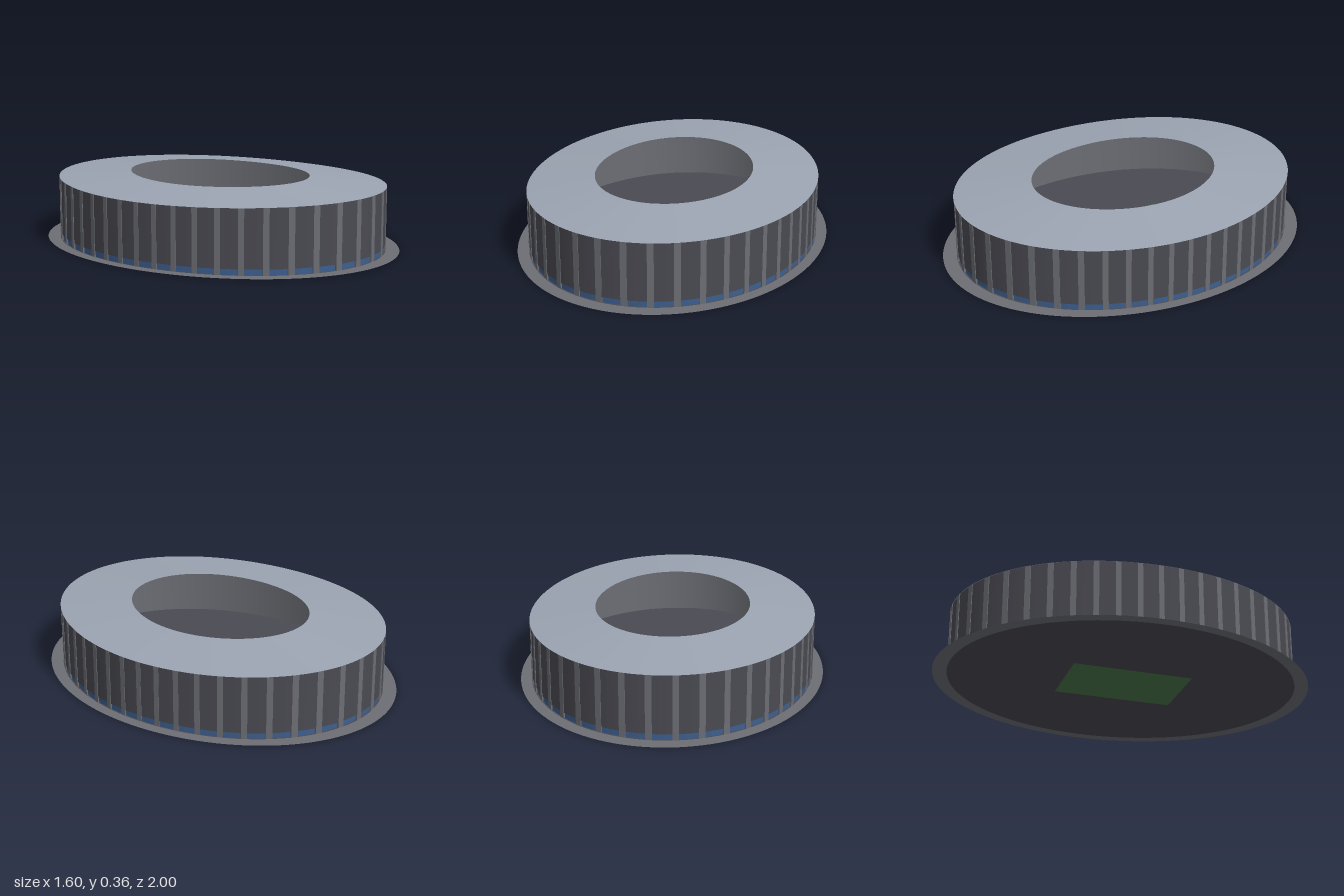
import * as THREE from 'three';

const SEGMENTS = 180; // facade bays, two degrees each
const RX = 0.745, RZ = 0.925;

const paint = (name, color) => {
  const m = new THREE.MeshStandardMaterial({ color, side: THREE.DoubleSide });
  m.name = name;
  return m;
};

// Point on an ellipse at a polar angle running from +x towards +z
function onEllipse(rx, rz, angle, y) {
  const c = Math.cos(angle), s = Math.sin(angle);
  const r = 1 / Math.hypot(c / rx, s / rz);
  return [r * c, y, r * s];
}

// Rim heights rise gently towards both ends
const eaves = (a) => 0.319 + 0.013 * Math.sin(a) ** 2;
const lip = (a) => 0.357 + 0.006 * Math.sin(a) ** 2;

// Flat-faced geometry from quads given as [a, b, c, d]
function quads(list) {
  const pos = [];
  for (const [a, b, c, d] of list) pos.push(...a, ...b, ...c, ...a, ...c, ...d);
  const g = new THREE.BufferGeometry();
  g.setAttribute('position', new THREE.Float32BufferAttribute(pos, 3));
  g.computeVertexNormals();
  return g;
}

// Smooth closed band between two edges, each a function of angle
function band(lower, upper) {
  const pos = [], idx = [];
  for (let i = 0; i < SEGMENTS; i++) {
    const a = (i / SEGMENTS) * Math.PI * 2;
    pos.push(...lower(a), ...upper(a));
    const p = i * 2, q = ((i + 1) % SEGMENTS) * 2;
    idx.push(p, p + 1, q + 1, p, q + 1, q);
  }
  const g = new THREE.BufferGeometry();
  g.setAttribute('position', new THREE.Float32BufferAttribute(pos, 3));
  g.setIndex(idx);
  g.computeVertexNormals();
  return g;
}

// Flat ground shape with a hole, laid facing up
function flat(shape, hole) {
  if (hole) shape.holes.push(hole);
  return new THREE.ShapeGeometry(shape, 90).rotateX(-Math.PI / 2);
}
const ellipse = (Kind, rx, rz) => new Kind().absellipse(0, 0, rx, rz, 0, Math.PI * 2);
const rectangle = (Kind, x, z) =>
  new Kind().moveTo(-x, -z).lineTo(x, -z).lineTo(x, z).lineTo(-x, z).closePath();

export function createModel() {
  const model = new THREE.Group();
  model.name = 'stadium';
  const charcoal = paint('charcoal', 0x4a4a52);
  const concrete = paint('concrete grey', 0x6c6e74);
  const roofGrey = paint('roof blue grey', 0x9ca4b2);
  const grass = paint('grass green', 0x4b7549);
  const glass = paint('glass blue', 0x3d5f8f);
  const add = (name, geometry, material) => {
    const mesh = new THREE.Mesh(geometry, material);
    mesh.name = name;
    model.add(mesh);
  };

  // Ground: plaza, arena floor and pitch set edge to edge
  add('plaza', flat(ellipse(THREE.Shape, 0.8, 1), ellipse(THREE.Path, RX, RZ)), concrete);
  add('arenaFloor', flat(ellipse(THREE.Shape, RX, RZ), rectangle(THREE.Path, 0.188, 0.318)), charcoal);
  add('pitch', flat(rectangle(THREE.Shape, 0.188, 0.318)), grass);

  // Facade: three dark panels over glass, then one projecting pier
  const panels = [], piers = [], glazing = [];
  const wall = (k, a0, a1, y0, top) => [
    onEllipse(RX * k, RZ * k, a0, y0), onEllipse(RX * k, RZ * k, a0, top(a0)),
    onEllipse(RX * k, RZ * k, a1, top(a1)), onEllipse(RX * k, RZ * k, a1, y0),
  ];
  const cheek = (a) => [
    onEllipse(RX, RZ, a, 0), onEllipse(RX, RZ, a, eaves(a)),
    onEllipse(RX * 0.99, RZ * 0.99, a, eaves(a)), onEllipse(RX * 0.99, RZ * 0.99, a, 0),
  ];
  for (let i = 0; i < SEGMENTS; i++) {
    const a0 = (i / SEGMENTS) * Math.PI * 2, a1 = ((i + 1) / SEGMENTS) * Math.PI * 2;
    if (i % 4 === 3) {
      piers.push(wall(1, a0, a1, 0, eaves), cheek(a0), cheek(a1).reverse());
    } else {
      panels.push(wall(0.996, a0, a1, 0.03, eaves));
      glazing.push(wall(0.99, a0, a1, 0, () => 0.03));
    }
  }
  add('facadePanels', quads(panels), charcoal);
  add('facadePiers', quads(piers), concrete);
  add('groundGlazing', quads(glazing), glass);

  // Plain wall inside the arena
  add('innerWall', band(
    (a) => onEllipse(RX * 0.985, RZ * 0.985, a, eaves(a)),
    (a) => onEllipse(RX * 0.985, RZ * 0.985, a, 0)), concrete);

  // Sloping roof ring with an oval opening
  add('roof', band(
    (a) => onEllipse(RX, RZ, a, eaves(a)),
    (a) => onEllipse(0.405, 0.507, a, lip(a))), roofGrey);

  return model;
}
